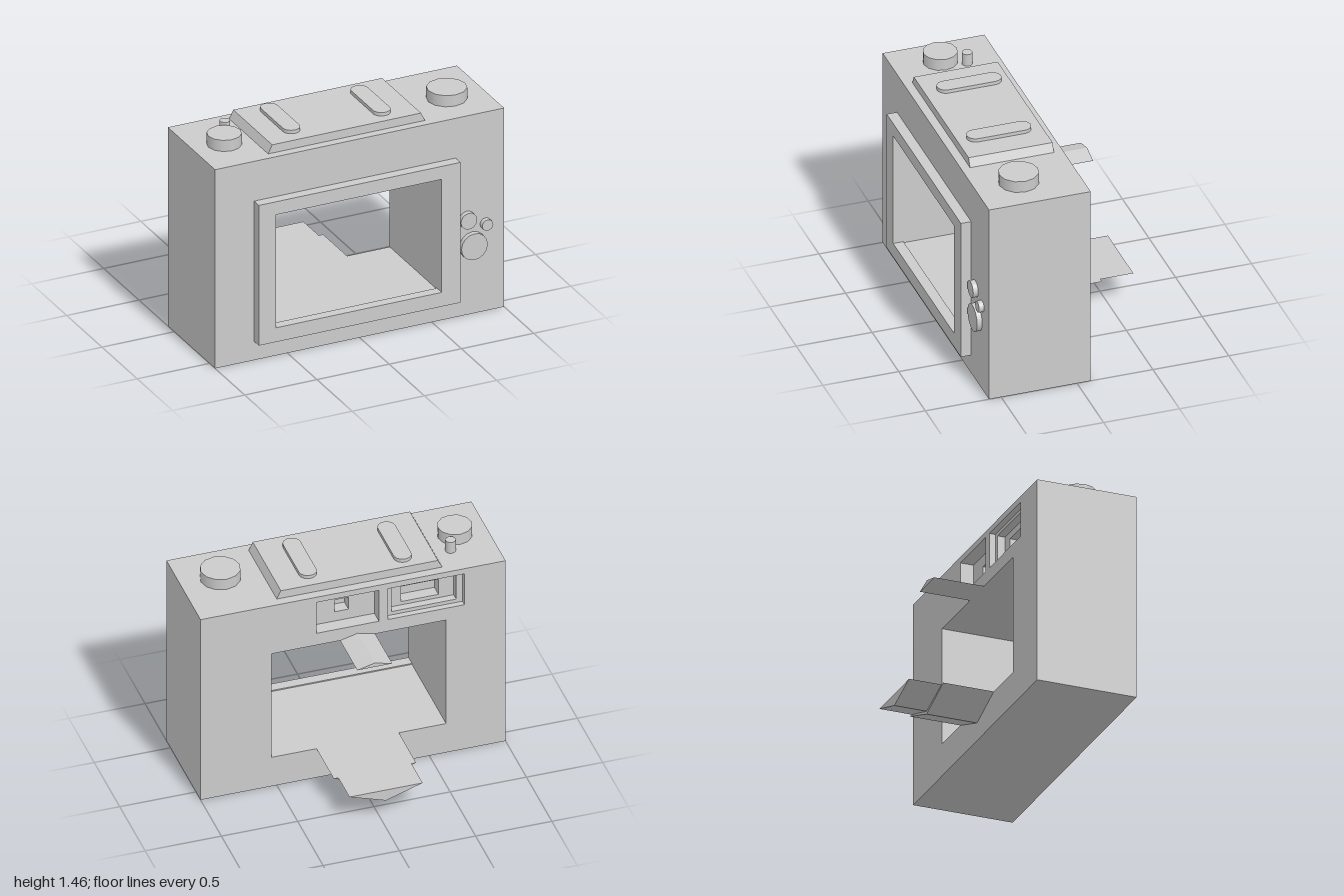
import * as THREE from 'three';

const material = new THREE.MeshStandardMaterial({ color: 0xcccccc });

function polygon(points) {
  return new THREE.Shape(points.map(([x, y]) => new THREE.Vector2(x, y)));
}

function rect([x0, x1, y0, y1]) {
  return polygon([[x0, y0], [x1, y0], [x1, y1], [x0, y1]]);
}

// Extrudes a front-facing shape from z0 to z1
function slab(name, shape, z0, z1, holes = []) {
  shape.holes.push(...holes.map(rect));
  const geometry = new THREE.ExtrudeGeometry(shape, { depth: z1 - z0, bevelEnabled: false, curveSegments: 8 });
  geometry.translate(0, 0, z0);
  const mesh = new THREE.Mesh(geometry, material);
  mesh.name = name;
  return mesh;
}

function disc(name, radius, height, sides) {
  const mesh = new THREE.Mesh(new THREE.CylinderGeometry(radius, radius, height, sides), material);
  mesh.name = name;
  return mesh;
}

export function createModel() {
  const camera = new THREE.Group();
  camera.name = 'camera';

  // Body: layers from back to front, pierced by the tunnel and the stepped back windows
  const tunnel = [-0.61, 0.535, 0.22, 1.01];
  const eyepiece = [-0.17, 0.24, 1.1, 1.335];
  const layers = [
    [-0.09, -0.05, eyepiece, [-0.73, -0.23, 1.1, 1.335]],
    [-0.05, 0, eyepiece, [-0.69, -0.265, 1.125, 1.31]],
    [0, 0.08, [0.0, 0.09, 1.17, 1.26], [-0.59, -0.345, 1.15, 1.265]],
    [0.08, 0.58],
  ];
  const body = new THREE.Group();
  body.name = 'body';
  for (const [z0, z1, ...windows] of layers) {
    body.add(slab('bodyLayer', rect([-1, 1, 0, 1.375]), z0, z1, [tunnel, ...windows]));
  }
  camera.add(body);

  // Frame around the front opening
  camera.add(slab('frontFrame', rect([-0.73, 0.665, 0.13, 1.1]), 0.58, 0.648, [[-0.61, 0.535, 0.228, 1.01]]));

  // Tongues behind the opening: a ridged upper one and a keeled two-step lower one
  camera.add(slab('upperTongue', polygon([[-0.145, 1.01], [0.085, 1.01], [-0.03, 1.04]]), -0.427, -0.09));
  camera.add(slab('lowerTongue', polygon([[-0.3, 0.22], [-0.03, 0.12], [0.24, 0.22]]), -0.43, -0.09));
  camera.add(slab('lowerTongueTip', polygon([[-0.27, 0.22], [-0.03, 0.14], [0.21, 0.22]]), -0.648, -0.43));

  // Raised top plate with sloping ends
  camera.add(slab('topPlate', polygon([[-0.605, 1.375], [0.48, 1.375], [0.453, 1.432], [-0.577, 1.432]]), -0.03, 0.523));

  // Round-ended strips on the top plate
  for (const [x, z0, z1] of [[-0.378, 0.075, 0.382], [0.237, 0.095, 0.402]]) {
    const r = 0.057;
    const shape = new THREE.Shape();
    shape.absarc(0, -z0, r, 0, Math.PI);
    shape.absarc(0, -z1, r, Math.PI, Math.PI * 2);
    const strip = slab('topStrip', shape, 0, 0.024);
    strip.rotation.x = -Math.PI / 2;
    strip.position.set(x, 1.432, 0);
    camera.add(strip);
  }

  // Dials and the small peg on top
  const topDiscs = [
    ['rightDial', -0.788, 0.275, 0.11, 1.452, 12],
    ['leftDial', 0.742, 0.295, 0.128, 1.452, 12],
    ['topPeg', -0.711, 0.125, 0.034, 1.457, 10],
  ];
  for (const [name, x, z, radius, top, sides] of topDiscs) {
    const dial = disc(name, radius, top - 1.375, sides);
    dial.position.set(x, (top + 1.375) / 2, z);
    camera.add(dial);
  }

  // Front buttons
  for (const [x, y, radius] of [[0.742, 0.66, 0.056], [0.871, 0.605, 0.038], [0.78, 0.475, 0.091]]) {
    const button = disc('frontButton', radius, 0.033, 16);
    button.rotation.x = Math.PI / 2;
    button.position.set(x, y, 0.5965);
    camera.add(button);
  }

  return camera;
}
